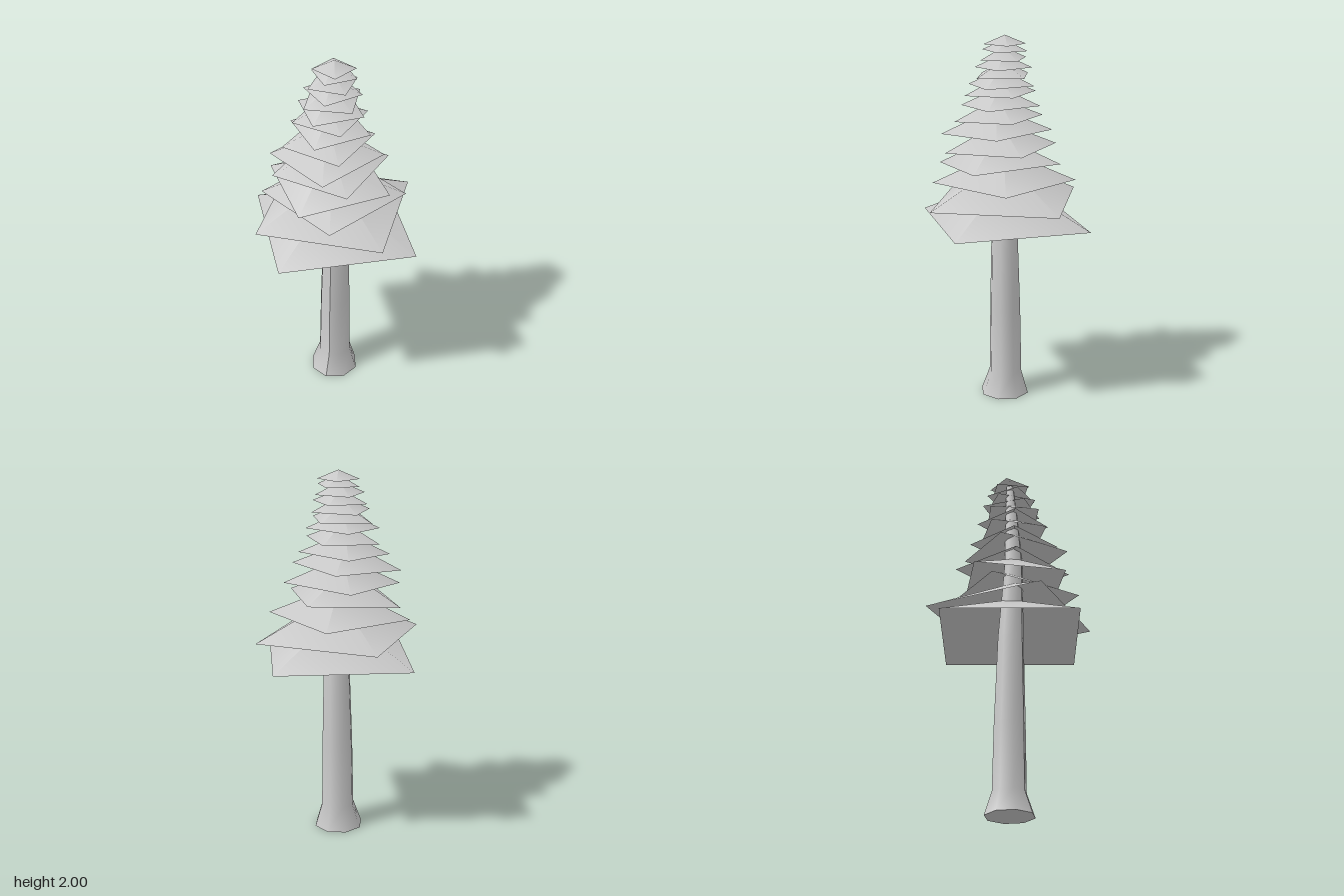
import * as THREE from 'three';

// Foliage tiers, bottom to top: [rim height, corner radius, turn in degrees, z shift, forward tilt]
const TIERS = [
  [1.00, 0.517, 9.4, 0, 0],
  [1.115, 0.478, -15.8, 0, 0],
  [1.215, 0.385, 40, 0.005, 0.02],
  [1.31, 0.35, 17, 0.04, 0.07],
  [1.395, 0.315, -32, 0.025, 0.04],
  [1.48, 0.297, 39, 0.055, 0.05],
  [1.555, 0.245, -35, 0.04, 0.05],
  [1.625, 0.22, 22, 0.03, 0.04],
  [1.69, 0.20, -32, 0.03, 0.03],
  [1.735, 0.19, 15, 0.025, 0.03],
  [1.785, 0.175, -12, 0.015, 0.02],
  [1.83, 0.155, 28, 0.01, 0.02],
  [1.875, 0.14, -20, 0.01, 0],
  [1.92, 0.125, 20, 0, 0],
  [1.953, 0.113, 45, 0, 0],
];

// Trunk rings: [height, radius, x, z]
const RINGS = [
  [0, 0.135, 0, 0],
  [0.13, 0.092, 0, -0.005],
  [0.5, 0.086, 0.003, -0.005],
  [1.0, 0.072, 0.01, -0.005],
  [1.45, 0.05, 0.005, 0.03],
  [1.75, 0.035, 0, 0.015],
  [1.96, 0.02, 0, 0],
];

export function createModel() {
  const tree = new THREE.Group();
  tree.name = 'tree';
  const material = new THREE.MeshStandardMaterial({ color: 0xcccccc, side: THREE.DoubleSide });

  // Trunk: eight-sided, flared at the root, bending a little on the way up
  const trunkGeometry = new THREE.CylinderGeometry(1, 1, 1, 8, RINGS.length - 1, true, Math.PI / 8);
  const pos = trunkGeometry.attributes.position;
  for (let i = 0; i < pos.count; i++) {
    const ring = Math.round((pos.getY(i) + 0.5) * (RINGS.length - 1));
    const [y, r, x, z] = RINGS[ring];
    pos.setXYZ(i, pos.getX(i) * r + x, y, pos.getZ(i) * r + z);
  }
  trunkGeometry.computeVertexNormals();
  const trunk = new THREE.Mesh(trunkGeometry, material);
  trunk.name = 'trunk';
  tree.add(trunk);

  // Flat underside of the root flare
  const base = new THREE.Mesh(new THREE.CircleGeometry(RINGS[0][1], 8, Math.PI / 8), material);
  base.name = 'trunkBase';
  base.rotation.x = Math.PI / 2;
  tree.add(base);

  // Foliage: open four-sided cones, each turned and slightly tilted
  const foliage = new THREE.Group();
  foliage.name = 'foliage';
  TIERS.forEach(([y, radius, turn, z, tilt], i) => {
    const height = i === TIERS.length - 1 ? 2 - y : radius * 0.45;
    const geometry = new THREE.ConeGeometry(radius, height, 4, 1, true);
    geometry.translate(0, height / 2, 0);
    const tier = new THREE.Mesh(geometry, material);
    tier.name = `foliageTier${i + 1}`;
    tier.position.set(0, y, z);
    tier.rotation.set(tilt, THREE.MathUtils.degToRad(turn), 0);
    foliage.add(tier);
  });
  tree.add(foliage);

  return tree;
}
